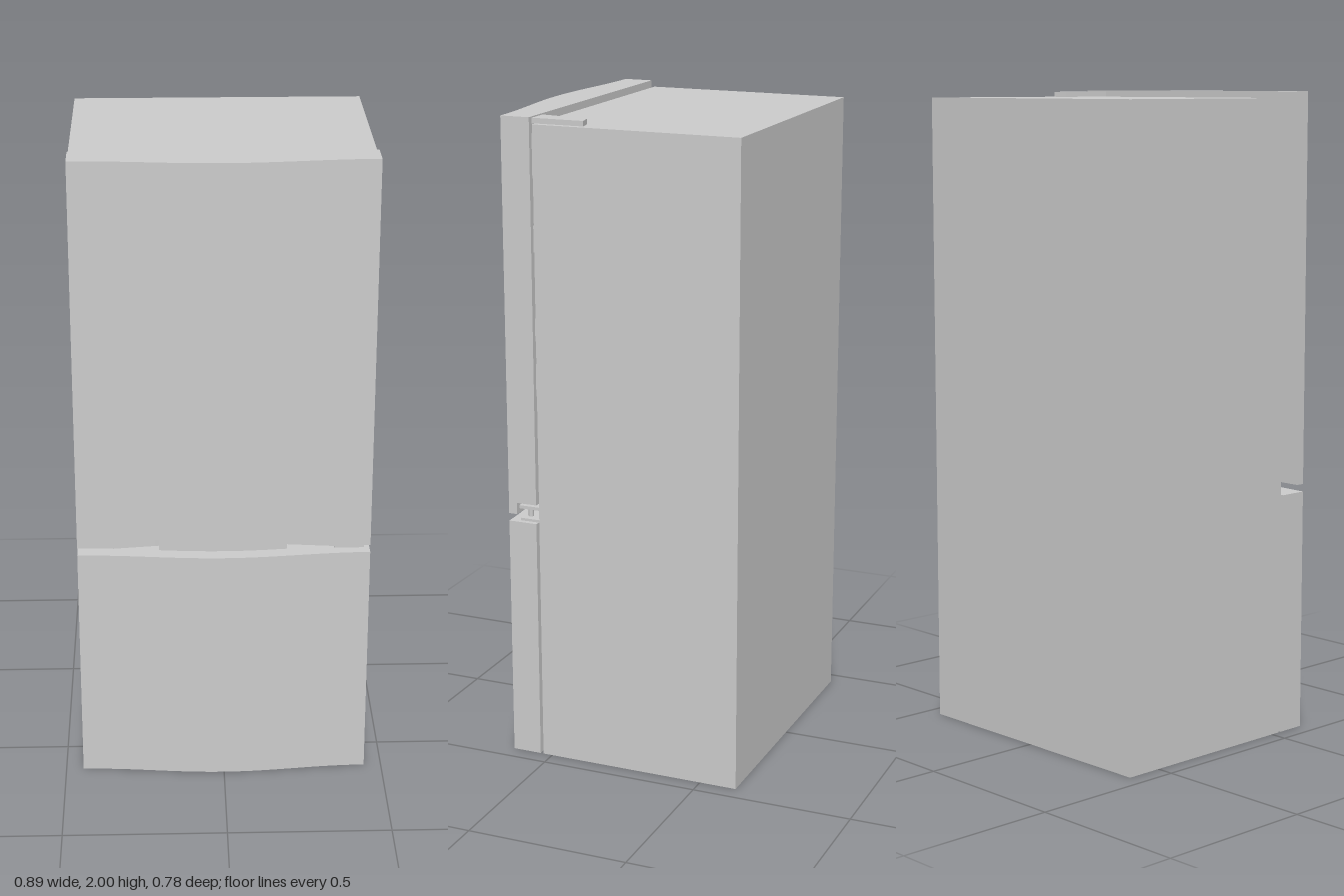
import * as THREE from 'three';
import { toCreasedNormals } from 'three/addons/utils/BufferGeometryUtils.js';

const HALF = 0.446;
const BACK = 0.54;

// Bowed door front: flat at the middle, easing off to the sides
const frontZ = (x) => 0.647 + 0.015 * Math.cos((Math.PI * x) / HALF);

export function createModel() {
  const model = new THREE.Group();
  const material = new THREE.MeshStandardMaterial({ color: 0xcccccc });

  function add(name, geometry, x = 0, y = 0, z = 0) {
    const mesh = new THREE.Mesh(geometry, material);
    mesh.name = name;
    mesh.position.set(x, y, z);
    model.add(mesh);
    return mesh;
  }

  // Box given by its limits
  function box(name, x0, x1, y0, y1, z0, z1) {
    return add(name, new THREE.BoxGeometry(x1 - x0, y1 - y0, z1 - z0),
      (x0 + x1) / 2, (y0 + y1) / 2, (z0 + z1) / 2);
  }

  // Raise a plan outline of [x, z] points from y0 to y1
  function slab(name, points, y0, y1) {
    const shape = new THREE.Shape(points.map(([x, z]) => new THREE.Vector2(x, -z)));
    const geometry = new THREE.ExtrudeGeometry(shape, { depth: y1 - y0, bevelEnabled: false });
    geometry.rotateX(-Math.PI / 2);
    return add(name, toCreasedNormals(geometry, 0.3), 0, y0, 0);
  }

  // Plan of a door; each grip is a wedge cut, deep inside and fading outwards
  function doorPlan(back, grips = false) {
    const points = [[-HALF, back]];
    const steps = 32;
    const inGrip = (x) => grips && Math.abs(x) > 0.19 && Math.abs(x) < 0.335;
    const xs = [];
    for (let i = 0; i <= steps; i++) xs.push(-HALF + (2 * HALF * i) / steps);
    for (const x of xs) {
      if (!inGrip(x)) points.push([x, frontZ(x)]);
      const next = x + (2 * HALF) / steps;
      if (!grips) continue;
      if (x < -0.335 && next >= -0.335) {
        points.push([-0.335, frontZ(0.335)], [-0.197, frontZ(0.197) - 0.03], [-0.197, frontZ(0.197)]);
      }
      if (x < 0.19 && next >= 0.19) {
        points.push([0.19, frontZ(0.19)], [0.19, frontZ(0.19) - 0.03], [0.335, frontZ(0.335)]);
      }
    }
    points.push([HALF, back]);
    return points;
  }

  // Cabinet
  box('cabinet', -HALF, HALF, 0, 1.98, -0.117, 0.53);

  // Doors; the upper one has a stepped lower lip with two hand grips
  slab('lowerDoor', doorPlan(BACK), 0, 0.76);
  slab('upperDoor', doorPlan(BACK), 0.82, 2);
  slab('upperDoorGripLip', doorPlan(0.605, true), 0.784, 0.82);

  // Spacers between cabinet and upper door
  for (const [y0, y1] of [[1.16, 1.26], [1.33, 1.4], [1.6, 1.68], [1.82, 1.95]]) {
    box('doorSpacer', -0.43, 0.43, y0, y1, 0.529, 0.541);
  }

  // Top hinge cover
  slab('topHinge', [[0.355, 0.541], [0.38, 0.385], [0.427, 0.376], [0.427, 0.541]], 1.979, 1.996);

  // Middle hinge: two plates joined by a pin
  box('middleHingeLowerPlate', 0.34, 0.43, 0.759, 0.768, 0.529, 0.6);
  box('middleHingeUpperPlate', 0.34, 0.43, 0.798, 0.808, 0.529, 0.605);
  add('middleHingePin', new THREE.CylinderGeometry(0.008, 0.008, 0.07, 12), 0.4, 0.79, 0.58);

  return model;
}
